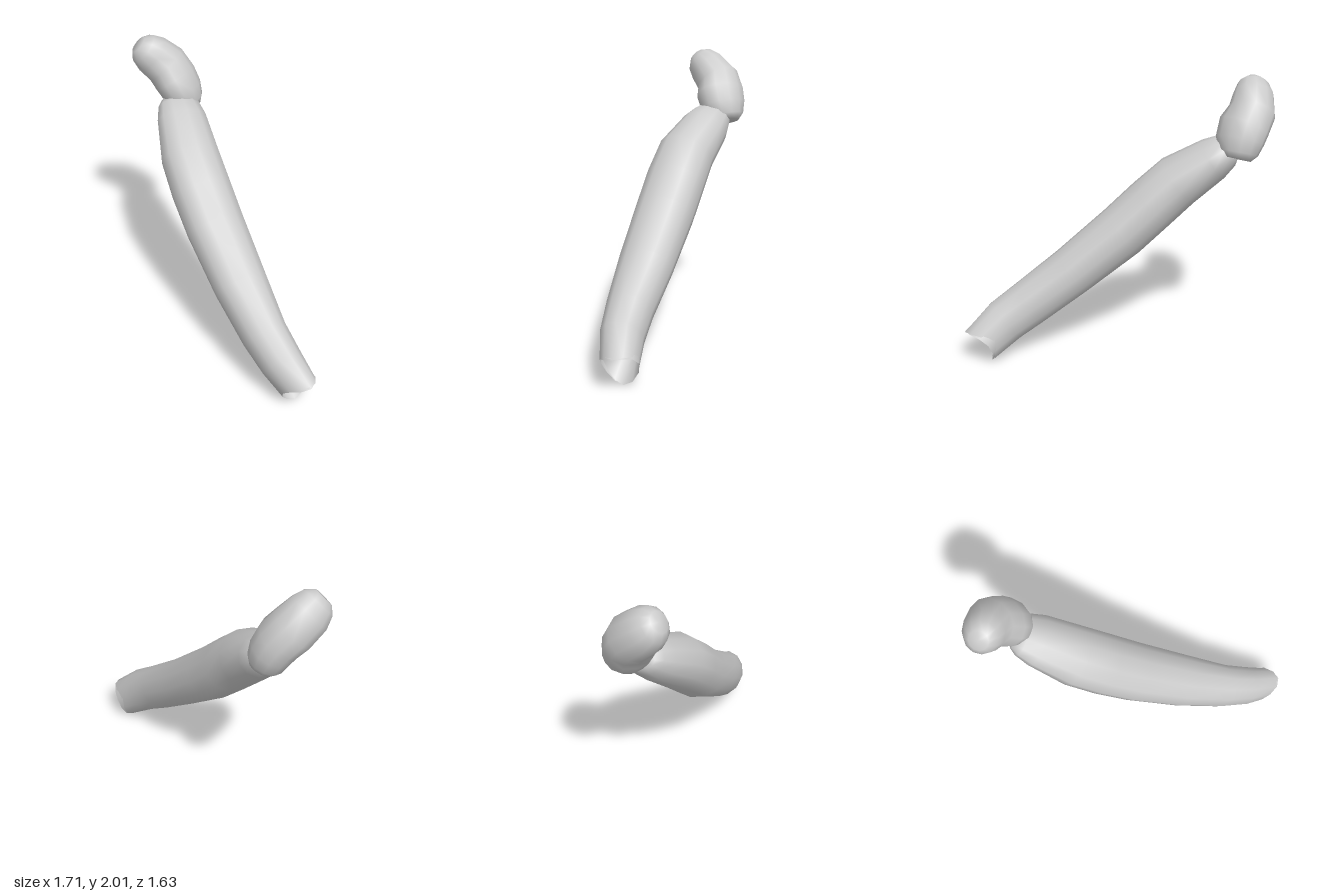
import * as THREE from 'three';

const SIDES = 12;

// Skin of elliptical rings. Station: [x, y, z, radius along side axis, radius across it, saddle of the ring]
function loft(stations, side, { capStart = false, capEnd = false, inward = false } = {}) {
  const centres = stations.map(s => new THREE.Vector3(s[0], s[1], s[2]));
  const last = centres.length - 1;
  const positions = [];
  const index = [];
  const tri = (a, b, c) => (inward ? index.push(a, c, b) : index.push(a, b, c));

  stations.forEach(([, , , ru, rv, saddle = 0], i) => {
    const t = centres[Math.min(i + 1, last)].clone().sub(centres[Math.max(i - 1, 0)]).normalize();
    const u = side.clone().addScaledVector(t, -side.dot(t)).normalize();
    const v = t.clone().cross(u);
    for (let j = 0; j < SIDES; j++) {
      const a = (j / SIDES) * Math.PI * 2;
      const p = centres[i].clone()
        .addScaledVector(u, ru * Math.cos(a))
        .addScaledVector(v, rv * Math.sin(a))
        .addScaledVector(t, -saddle * Math.cos(2 * a));
      positions.push(p.x, p.y, p.z);
    }
  });

  for (let i = 0; i < last; i++) {
    for (let j = 0; j < SIDES; j++) {
      const a = i * SIDES + j, b = i * SIDES + (j + 1) % SIDES;
      tri(a, b, a + SIDES);
      tri(b, b + SIDES, a + SIDES);
    }
  }

  // Close an end with a fan around its centre
  const cap = (i, atEnd) => {
    const c = positions.length / 3;
    positions.push(...centres[i].toArray());
    for (let j = 0; j < SIDES; j++) {
      const a = i * SIDES + j, b = i * SIDES + (j + 1) % SIDES;
      if (atEnd) tri(a, b, c); else tri(b, a, c);
    }
  };
  if (capStart) cap(0, false);
  if (capEnd) cap(last, true);

  const g = new THREE.BufferGeometry();
  g.setAttribute('position', new THREE.Float32BufferAttribute(positions, 3));
  g.setIndex(index);
  g.computeVertexNormals();
  return g;
}

export function createModel() {
  const group = new THREE.Group();
  group.name = 'limb';
  const material = new THREE.MeshStandardMaterial({ color: 0xcccccc, side: THREE.DoubleSide });
  const add = (name, geometry) => {
    const mesh = new THREE.Mesh(geometry, material);
    mesh.name = name;
    group.add(mesh);
  };
  const across = new THREE.Vector3(1, 0, -1).normalize();

  // Long shaft, swelling in the upper half and ending in a saddle-shaped rim
  const rim = [0.755, 0.14, 0.68, 0.125, 0.15, 0.04];
  add('shaft', loft([
    [-0.515, 1.53, -0.59, 0.12, 0.07],
    [-0.49, 1.505, -0.55, 0.155, 0.115],
    [-0.44, 1.44, -0.47, 0.185, 0.15],
    [-0.315, 1.27, -0.26, 0.215, 0.19],
    [-0.19, 1.1, -0.12, 0.22, 0.195],
    [-0.04, 0.905, 0.03, 0.215, 0.195],
    [0.22, 0.62, 0.28, 0.195, 0.18],
    [0.45, 0.395, 0.49, 0.16, 0.175],
    [0.6, 0.275, 0.6, 0.145, 0.17],
    rim,
  ], across, { capStart: true }));

  // Hollow inside the open lower end
  add('socket', loft([
    [0.6, 0.29, 0.545, 0.05, 0.06],
    [0.63, 0.26, 0.57, 0.09, 0.11],
    [0.7, 0.195, 0.63, 0.105, 0.13, 0.03],
    rim,
  ], across, { capStart: true, inward: true }));

  // Bent end joint overlapping the top of the shaft
  add('endJoint', loft([
    [-0.45, 1.47, -0.65, 0.1, 0.1],
    [-0.465, 1.51, -0.65, 0.145, 0.125],
    [-0.495, 1.59, -0.645, 0.175, 0.145],
    [-0.545, 1.68, -0.645, 0.185, 0.155],
    [-0.62, 1.77, -0.66, 0.165, 0.16],
    [-0.71, 1.86, -0.615, 0.14, 0.15],
    [-0.76, 1.915, -0.58, 0.11, 0.12],
    [-0.79, 1.945, -0.565, 0.065, 0.07],
  ], new THREE.Vector3(0, 0, 1), { capStart: true, capEnd: true }));

  return group;
}
